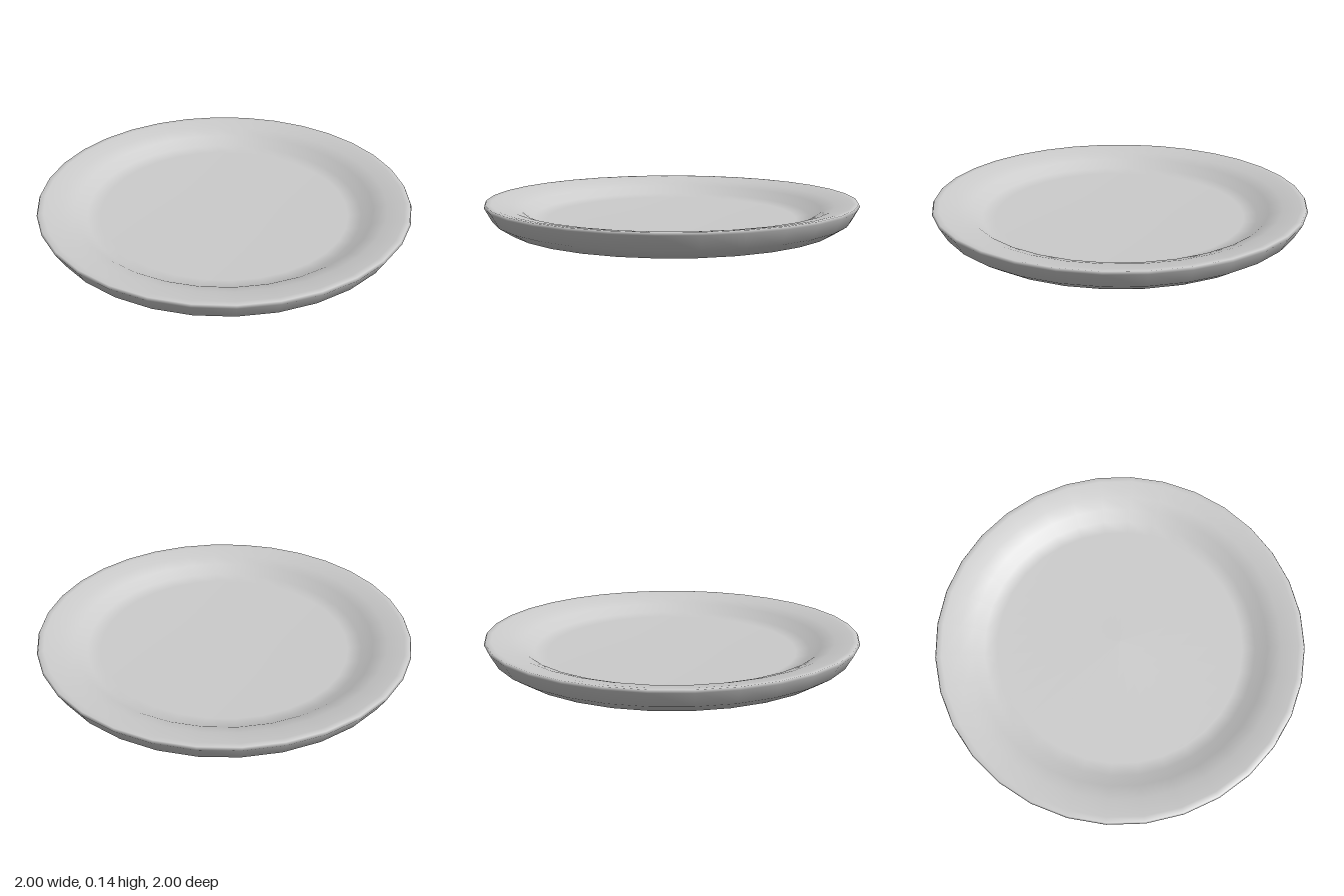
import * as THREE from 'three';

export function createModel() {
  const group = new THREE.Group();
  group.name = 'plate';
  const material = new THREE.MeshStandardMaterial({ color: 0xcccccc });

  // Closed section [radius, height]: underside, outer wall, rim, well, floor
  const section = [
    [0, 0], [0.8, 0], [0.895, 0.003],
    [0.965, 0.05], [1.005, 0.125], [0.998, 0.138],
    [0.97, 0.136], [0.88, 0.118], [0.81, 0.092],
    [0.75, 0.05], [0.68, 0.033], [0, 0.032],
  ].map(([r, y]) => new THREE.Vector2(r, y));

  // 32 sides, turned half a step so flat sides face the axes
  const sides = 32;
  const dish = new THREE.Mesh(
    new THREE.LatheGeometry(section, sides, Math.PI / sides, Math.PI * 2),
    material
  );
  dish.name = 'dish';
  group.add(dish);
  return group;
}
